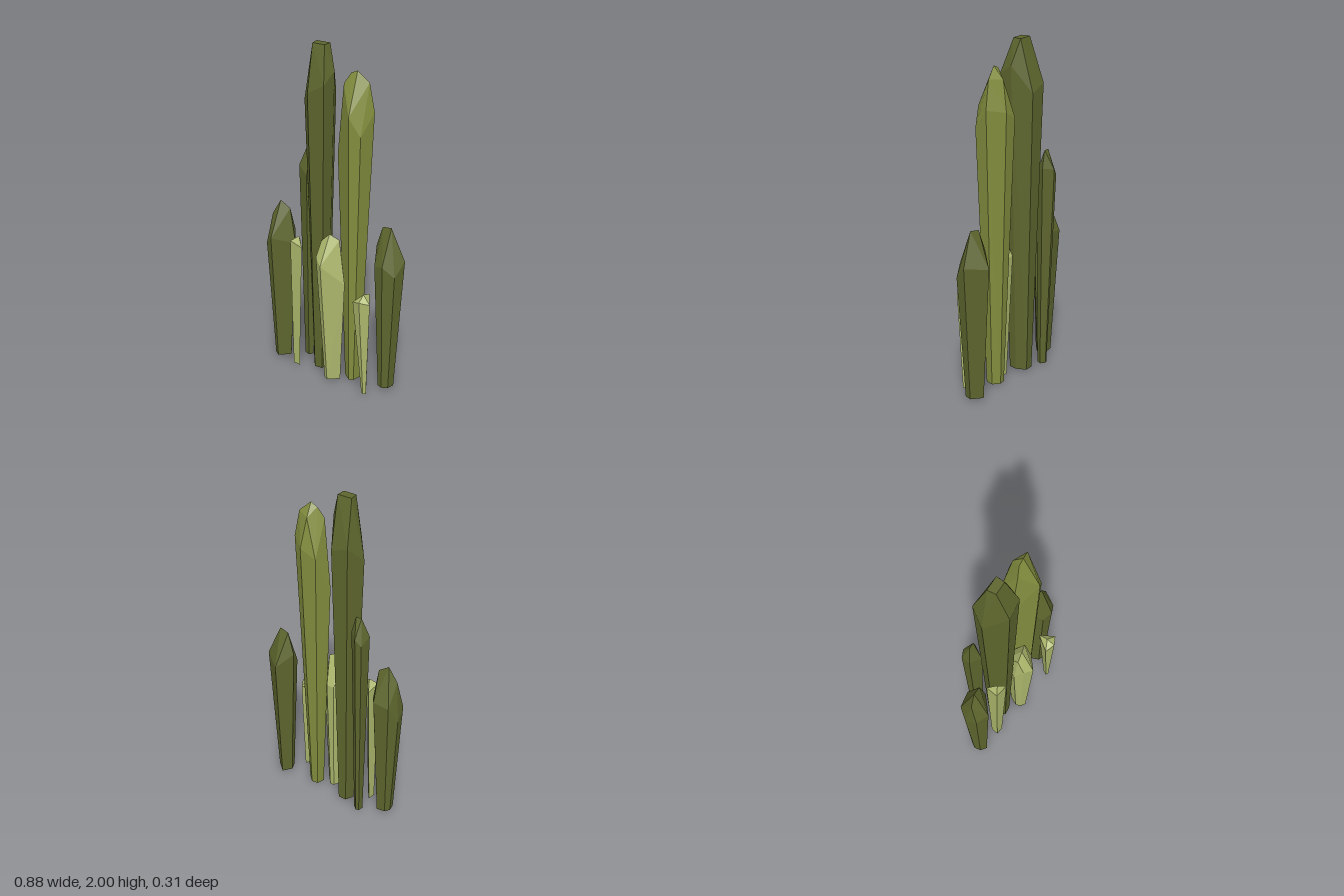
import * as THREE from 'three';
import { ConvexGeometry } from 'three/addons/geometries/ConvexGeometry.js';

const material = (name, color) => {
  const m = new THREE.MeshStandardMaterial({ color, flatShading: true });
  m.name = name;
  return m;
};

// A faceted stalk: shoulder ring and tip points are [x, y, z];
// base is the shoulder outline shrunk into [xMin, xMax, zMin, zMax] at height y.
function stalk(name, mat, { shoulder, tips, base, y }) {
  const range = (k) => {
    const v = shoulder.map((p) => p[k]);
    return [Math.min(...v), Math.max(...v)];
  };
  const [x0, x1] = range(0);
  const [z0, z1] = range(2);
  const [bx0, bx1, bz0, bz1] = base;
  const foot = shoulder.map(([x, , z]) => [
    THREE.MathUtils.mapLinear(x, x0, x1, bx0, bx1),
    y,
    THREE.MathUtils.mapLinear(z, z0, z1, bz0, bz1),
  ]);
  const points = [...foot, ...shoulder, ...tips].map((p) => new THREE.Vector3(...p));
  const mesh = new THREE.Mesh(new ConvexGeometry(points), mat);
  mesh.name = name;
  return mesh;
}

export function createModel() {
  const dark = material('dark olive', 0x5d652d);
  const mid = material('olive', 0x838d3e);
  const light = material('pale green', 0xacb76c);
  const group = new THREE.Group();
  group.name = 'stalkCluster';

  group.add(
    // Two tall stalks
    stalk('tallestStalk', dark, {
      shoulder: [[-0.21, 1.66, -0.04], [-0.16, 1.75, -0.125], [-0.06, 1.71, -0.125],
        [-0.005, 1.86, -0.02], [-0.02, 1.8, 0.065], [-0.12, 1.74, 0.07]],
      tips: [[-0.135, 2, -0.05], [-0.05, 2, -0.05], [-0.13, 2, 0], [-0.055, 2, 0]],
      base: [-0.155, -0.055, -0.08, 0.03], y: 0.015,
    }),
    stalk('tallStalk', mid, {
      shoulder: [[0.022, 1.4, -0.01], [0.06, 1.6, -0.095], [0.15, 1.65, -0.105],
        [0.235, 1.67, -0.035], [0.205, 1.55, 0.06], [0.145, 1.66, 0.085]],
      tips: [[0.14, 1.89, -0.015], [0.1, 1.87, -0.015], [0.205, 1.83, -0.03],
        [0.065, 1.81, 0], [0.13, 1.82, -0.07]],
      base: [0.08, 0.17, -0.05, 0.045], y: 0.01,
    }),
    // Medium stalks at the sides and back
    stalk('rightSideStalk', dark, {
      shoulder: [[-0.44, 0.7, -0.03], [-0.405, 0.8, -0.08], [-0.315, 0.82, -0.09],
        [-0.26, 0.78, -0.005], [-0.37, 0.82, 0.085], [-0.43, 0.76, 0.04]],
      tips: [[-0.36, 1.03, -0.01], [-0.41, 0.94, 0], [-0.3, 0.99, -0.015]],
      base: [-0.4, -0.3, -0.05, 0.05], y: 0.02,
    }),
    stalk('leftSideStalk', dark, {
      shoulder: [[0.257, 0.89, -0.04], [0.33, 0.82, -0.122], [0.44, 0.84, -0.035],
        [0.415, 0.76, 0.035], [0.35, 0.82, 0.062], [0.29, 0.8, 0.04]],
      tips: [[0.36, 1.03, -0.02], [0.3, 1.02, -0.03]],
      base: [0.295, 0.39, -0.08, 0.03], y: 0.02,
    }),
    stalk('backStalk', dark, {
      shoulder: [[-0.28, 1.24, -0.085], [-0.265, 1.2, -0.145], [-0.23, 1.24, -0.155],
        [-0.18, 1.25, -0.11], [-0.21, 1.2, -0.05]],
      tips: [[-0.24, 1.35, -0.105], [-0.205, 1.35, -0.105]],
      base: [-0.25, -0.2, -0.115, -0.065], y: 0.01,
    }),
    // Pale young stalks in front
    stalk('frontStalk', light, {
      shoulder: [[-0.06, 0.68, 0.06], [-0.045, 0.8, 0.115], [0.005, 0.77, 0.15],
        [0.117, 0.65, 0.07], [0.035, 0.76, -0.03], [-0.01, 0.76, -0.03]],
      tips: [[0.015, 0.94, 0.065], [-0.035, 0.89, 0.07], [0.07, 0.91, 0.05]],
      base: [-0.02, 0.08, 0.0, 0.1], y: 0.005,
    }),
    stalk('frontRightSprout', light, {
      shoulder: [[-0.235, 0.81, -0.015], [-0.25, 0.83, 0.065], [-0.165, 0.81, 0.075]],
      tips: [[-0.205, 0.86, 0.04]],
      base: [-0.245, -0.2, 0.01, 0.06], y: 0.01,
    }),
    stalk('frontLeftSprout', light, {
      shoulder: [[0.26, 0.62, -0.04 + 0.077], [0.2, 0.59, 0.12], [0.255, 0.61, 0.145], [0.31, 0.6, 0.12]],
      tips: [[0.255, 0.64, 0.095]],
      base: [0.255, 0.285, 0.08, 0.115], y: 0,
    }),
  );
  return group;
}
